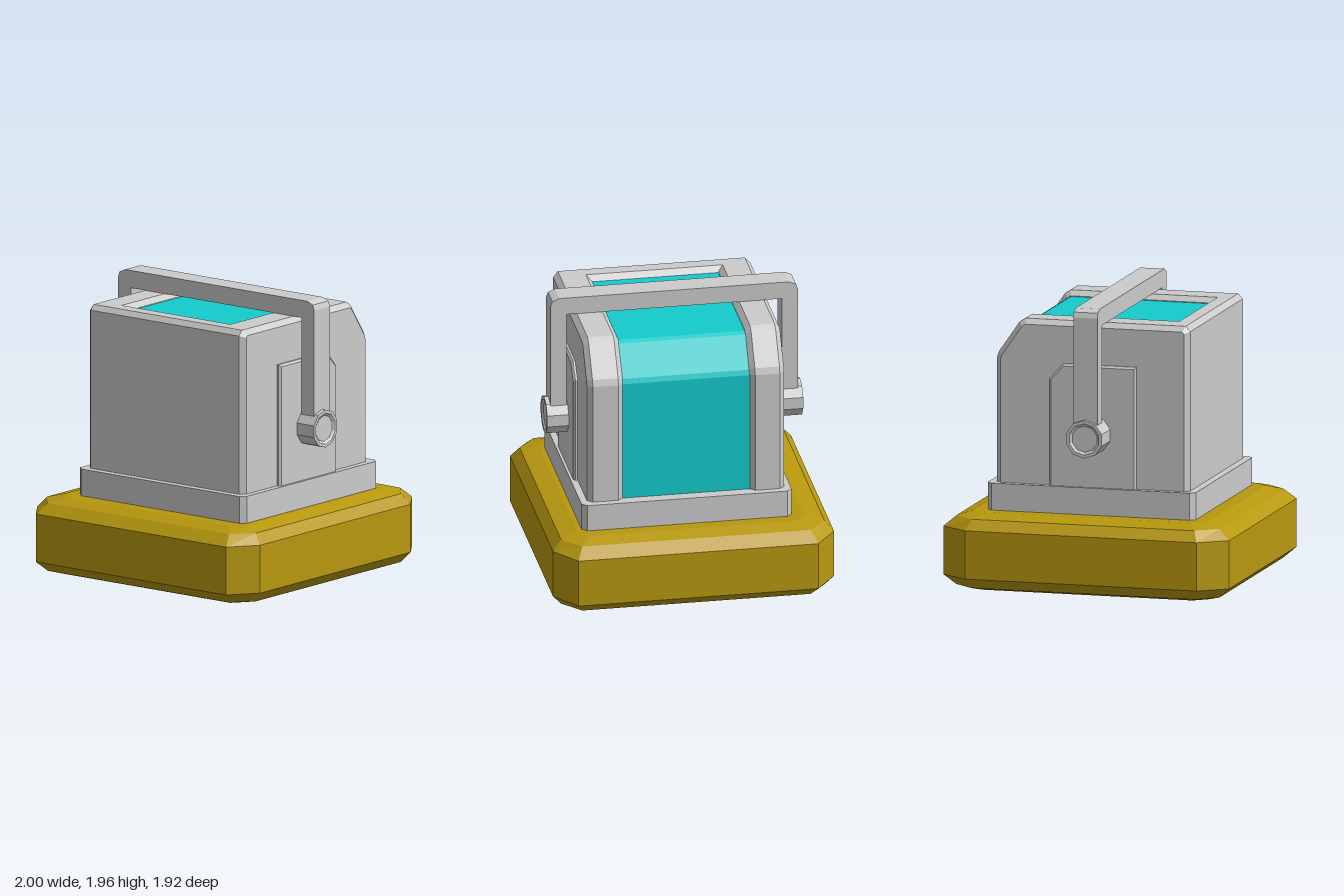
import * as THREE from 'three';

const material = (color) => new THREE.MeshStandardMaterial({ color, flatShading: true });

// Extrude an x/y outline from z0 to z1, with an optional inward chamfer on both ends
function slab(points, z0, z1, bevel = 0) {
  const shape = new THREE.Shape(points.map(([x, y]) => new THREE.Vector2(x, y)));
  const geometry = new THREE.ExtrudeGeometry(shape, {
    depth: z1 - z0 - 2 * bevel,
    bevelEnabled: bevel > 0,
    bevelThickness: bevel,
    bevelSize: bevel,
    bevelOffset: -bevel,
    bevelSegments: 1,
  });
  return geometry.translate(0, 0, z0 + bevel);
}

// Rectangle with cut corners, counter-clockwise
function octagon(hx, hz, cx, cz) {
  return [
    [hx, -hz + cz], [hx, hz - cz], [hx - cx, hz], [-hx + cx, hz],
    [-hx, hz - cz], [-hx, -hz + cz], [-hx + cx, -hz], [hx - cx, -hz],
  ];
}

// Stack octagonal cross-sections [y, hx, hz, cx, cz] from bottom to top and cap both ends
function loft(sections) {
  const positions = [], index = [], n = 8;
  for (const [y, ...size] of sections) {
    for (const [x, z] of octagon(...size)) positions.push(x, y, z);
  }
  for (let r = 0; r < sections.length - 1; r++) {
    for (let i = 0; i < n; i++) {
      const a = r * n + i, b = r * n + (i + 1) % n;
      index.push(a, a + n, b, b, a + n, b + n);
    }
  }
  const top = (sections.length - 1) * n;
  for (let i = 1; i < n - 1; i++) {
    index.push(0, i, i + 1, top, top + i + 1, top + i);
  }
  const geometry = new THREE.BufferGeometry();
  geometry.setAttribute('position', new THREE.Float32BufferAttribute(positions, 3));
  geometry.setIndex(index);
  const flat = geometry.toNonIndexed();
  flat.computeVertexNormals();
  return flat;
}

export function createModel() {
  const model = new THREE.Group();
  const grey = material(0xcccccc), yellow = material(0xb8980f), teal = material(0x14cccc);
  const add = (name, geometry, mat = grey) => {
    const mesh = new THREE.Mesh(geometry, mat);
    mesh.name = name;
    model.add(mesh);
    return mesh;
  };

  // Thick base with softened edges and cut corners
  add('base', loft([
    [0, 0.82, 0.78, 0.09, 0.07],
    [0.03, 0.92, 0.9, 0.14, 0.12],
    [0.1, 1, 0.96, 0.19, 0.14],
    [0.43, 1, 0.96, 0.19, 0.14],
    [0.5, 0.92, 0.9, 0.14, 0.12],
    [0.53, 0.82, 0.78, 0.09, 0.07],
  ]), yellow);

  // Plinth under the housing
  add('plinth', loft([
    [0.5, 0.728, 0.718, 0.035, 0.035],
    [0.715, 0.728, 0.718, 0.035, 0.035],
  ])).position.set(0.008, 0, 0.028);

  // Housing: two chamfered cheeks joined by a wall on the right side
  const cheek = [
    [-0.668, 0.6], [0.685, 0.6], [0.685, 1.56], [0.67, 1.605],
    [0.525, 1.815], [0.485, 1.84], [-0.636, 1.84], [-0.668, 1.805],
  ];
  add('frontCheek', slab(cheek, 0.455, 0.7, 0.035));
  add('backCheek', slab(cheek, -0.648, -0.41, 0.035));
  add('sideWall', slab([
    [-0.668, 0.6], [-0.51, 0.6], [-0.51, 1.8], [-0.543, 1.84],
    [-0.636, 1.84], [-0.668, 1.805],
  ], -0.445, 0.49));

  // Coloured insert recessed between the cheeks
  add('insert', slab([
    [-0.52, 0.6], [0.653, 0.6], [0.653, 1.55], [0.64, 1.585],
    [0.505, 1.785], [0.475, 1.8], [-0.52, 1.8],
  ], -0.43, 0.475), teal);

  // Raised panel on each cheek, passing through both
  const panel = [
    [-0.303, 0.65], [0.305, 0.65], [0.305, 1.445], [0.208, 1.55], [-0.303, 1.55],
  ];
  add('frontPanel', slab(panel, 0.6, 0.728, 0.014));
  add('backPanel', slab(panel, -0.67, -0.56, 0.014));

  // Arched carrying handle, outlined in side view and turned to span z
  const outer = [[0.845, 1.15], [0.845, 1.905], [0.832, 1.94], [0.785, 1.96]];
  const mirrored = outer.map(([z, y]) => [-z, y]).reverse();
  const handle = slab([
    ...outer, ...mirrored,
    [-0.735, 1.15], [-0.735, 1.84], [0.735, 1.84], [0.735, 1.15],
  ], -0.084, 0.084).rotateY(Math.PI / 2);
  add('handle', handle);

  // Ten-sided pivot knobs with a shallow dished end
  const knobProfile = [[0, 0], [0.13, 0], [0.13, 0.235], [0.108, 0.235], [0.09, 0.222], [0, 0.222]]
    .map(([r, y]) => new THREE.Vector2(r, y));
  for (const side of [1, -1]) {
    const knob = add(side > 0 ? 'frontKnob' : 'backKnob', new THREE.LatheGeometry(knobProfile, 10));
    knob.rotation.x = side * Math.PI / 2;
    knob.position.set(0, 1.08, side * 0.64);
  }

  return model;
}
